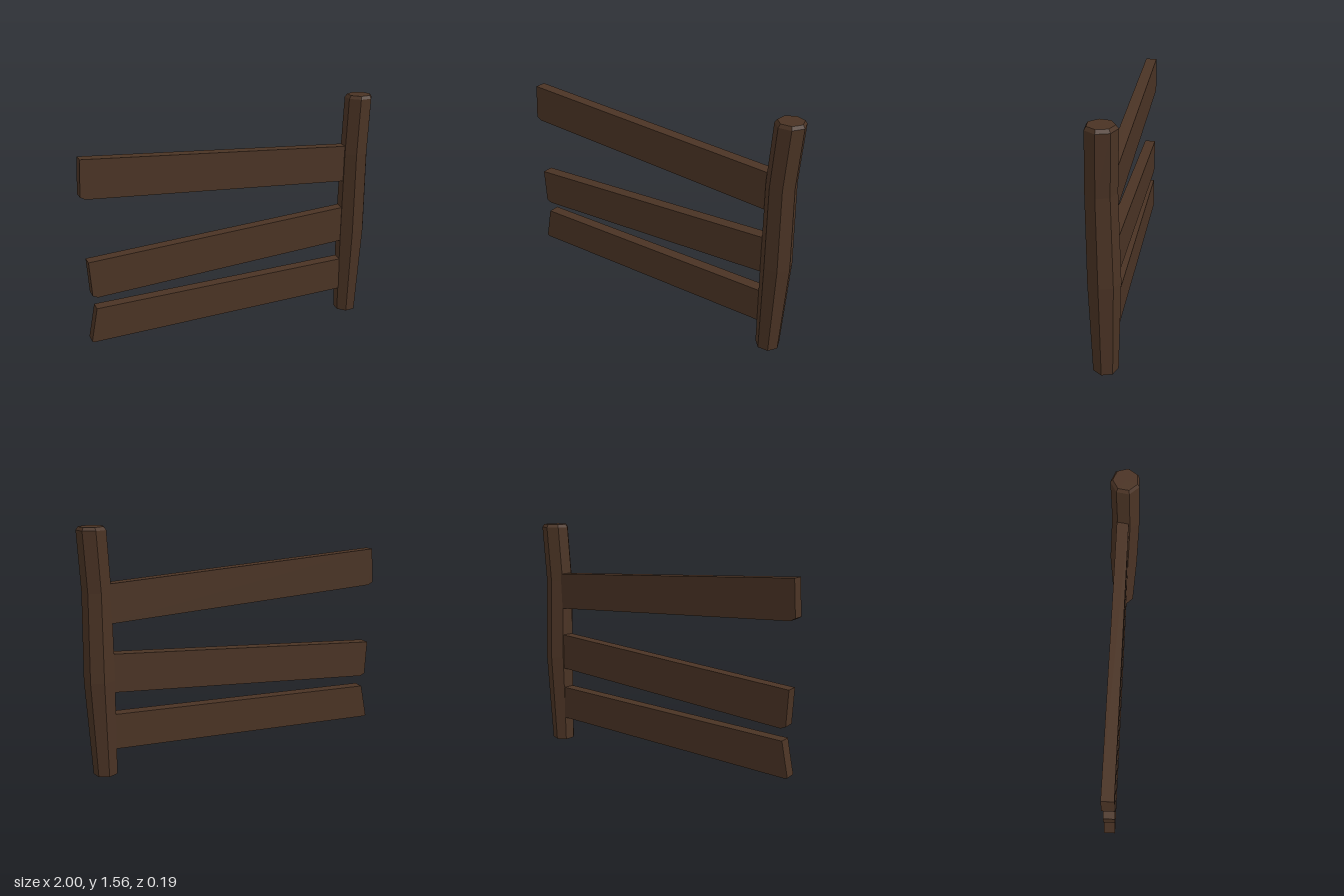
import * as THREE from 'three';

const wood = new THREE.MeshStandardMaterial({ color: 0x4a3324, flatShading: true });

// Seven-sided post; each ring is [y, centre x, centre z, radius]
function makePost() {
  const rings = [
    [0, 0.885, 0, 0.078],
    [0.62, 0.897, -0.001, 0.098],
    [1.17, 0.889, 0.009, 0.092],
    [1.54, 0.907, -0.001, 0.092],
    [1.56, 0.908, 0, 0.078],
  ];
  const start = THREE.MathUtils.degToRad(81);
  const geometry = new THREE.CylinderGeometry(1, 1, 1, 7, rings.length - 1, false, start).toNonIndexed();
  const p = geometry.attributes.position;
  for (let i = 0; i < p.count; i++) {
    const [y, cx, cz, r] = rings[Math.round((p.getY(i) + 0.5) * (rings.length - 1))];
    p.setXYZ(i, cx + p.getX(i) * r, y, cz + p.getZ(i) * r);
  }
  geometry.computeVertexNormals();
  const post = new THREE.Mesh(geometry, wood);
  post.name = 'post';
  return post;
}

// Plank cut from an outline in the xy plane, running into the post
function makeRail(name, outline) {
  const shape = new THREE.Shape(outline.map(([x, y]) => new THREE.Vector2(x, y)));
  const geometry = new THREE.ExtrudeGeometry(shape, { depth: 0.075, bevelEnabled: false });
  geometry.translate(0, 0, -0.049);
  const rail = new THREE.Mesh(geometry, wood);
  rail.name = name;
  return rail;
}

export function createModel() {
  const group = new THREE.Group();
  group.name = 'brokenFence';
  group.add(makePost());

  // Each outline: free end with a chipped lower corner, then the end inside the post
  group.add(makeRail('topRail', [
    [-0.985, 1.34], [-1, 1.112], [-0.968, 1.094], [0.87, 0.973], [0.87, 1.217],
  ]));
  group.add(makeRail('middleRail', [
    [-0.978, 0.69], [-0.966, 0.463], [-0.933, 0.448], [0.87, 0.544], [0.87, 0.789],
  ]));
  group.add(makeRail('bottomRail', [
    [-0.945, 0.372], [-0.99, 0.15], [-0.975, 0.143], [0.87, 0.171], [0.87, 0.399],
  ]));
  return group;
}
